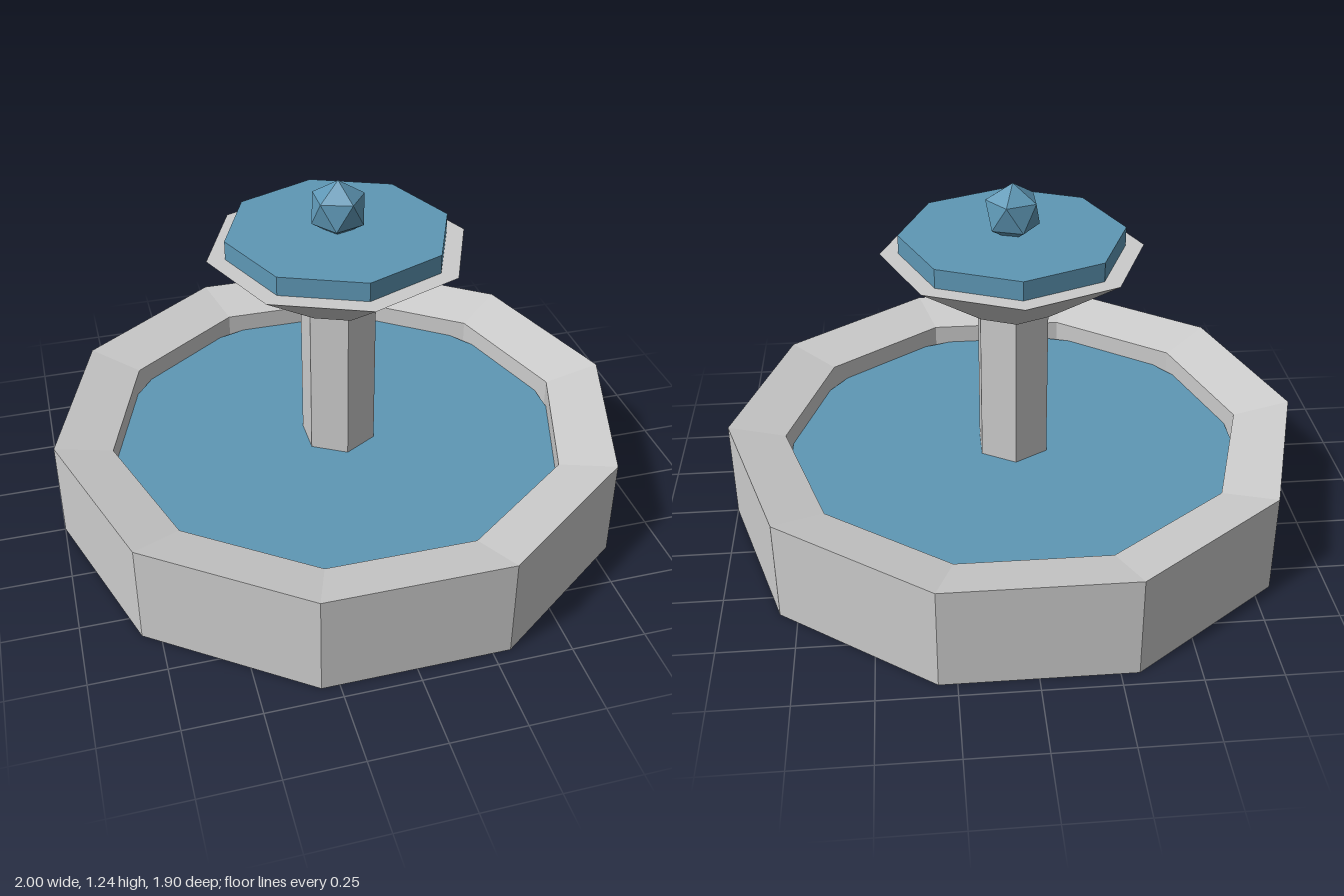
import * as THREE from 'three';

export function createModel() {
  const fountain = new THREE.Group();
  fountain.name = 'fountain';
  const stone = new THREE.MeshStandardMaterial({ color: 0xcccccc, flatShading: true });
  const water = new THREE.MeshStandardMaterial({ color: 0x5e97b5, flatShading: true });

  const add = (name, geometry, material) => {
    const mesh = new THREE.Mesh(geometry, material);
    mesh.name = name;
    fountain.add(mesh);
    return mesh;
  };
  // Upright prism or frustum between two heights
  const prism = (name, rTop, rBottom, y0, y1, sides, material) => {
    const mesh = add(name, new THREE.CylinderGeometry(rTop, rBottom, y1 - y0, sides), material);
    mesh.position.y = (y0 + y1) / 2;
    return mesh;
  };

  // Ten-sided basin wall, its rim sloping down towards the water
  const profile = [[0.803, 0], [1, 0], [1, 0.355], [0.803, 0.31], [0.803, 0]]
    .map(([r, y]) => new THREE.Vector2(r, y));
  add('basinWall', new THREE.LatheGeometry(profile, 10).rotateY(Math.PI / 2), stone);

  // Water filling the basin, half a side out of step with the wall
  prism('basinWater', 0.826, 0.826, 0.001, 0.24, 10, water);

  // Six-sided pillar carrying the eight-sided upper bowl
  prism('pillar', 0.132, 0.132, 0.1, 0.81, 6, stone);
  prism('upperBowl', 0.44, 0.16, 0.802, 1, 8, stone);
  prism('upperWater', 0.378, 0.378, 0.98, 1.065, 8, water);

  // Faceted bubble standing on one vertex
  const bubble = new THREE.IcosahedronGeometry(0.1, 0);
  bubble.rotateZ(-Math.atan(2 / (1 + Math.sqrt(5))));
  add('waterBubble', bubble, water).position.y = 1.135;

  return fountain;
}
